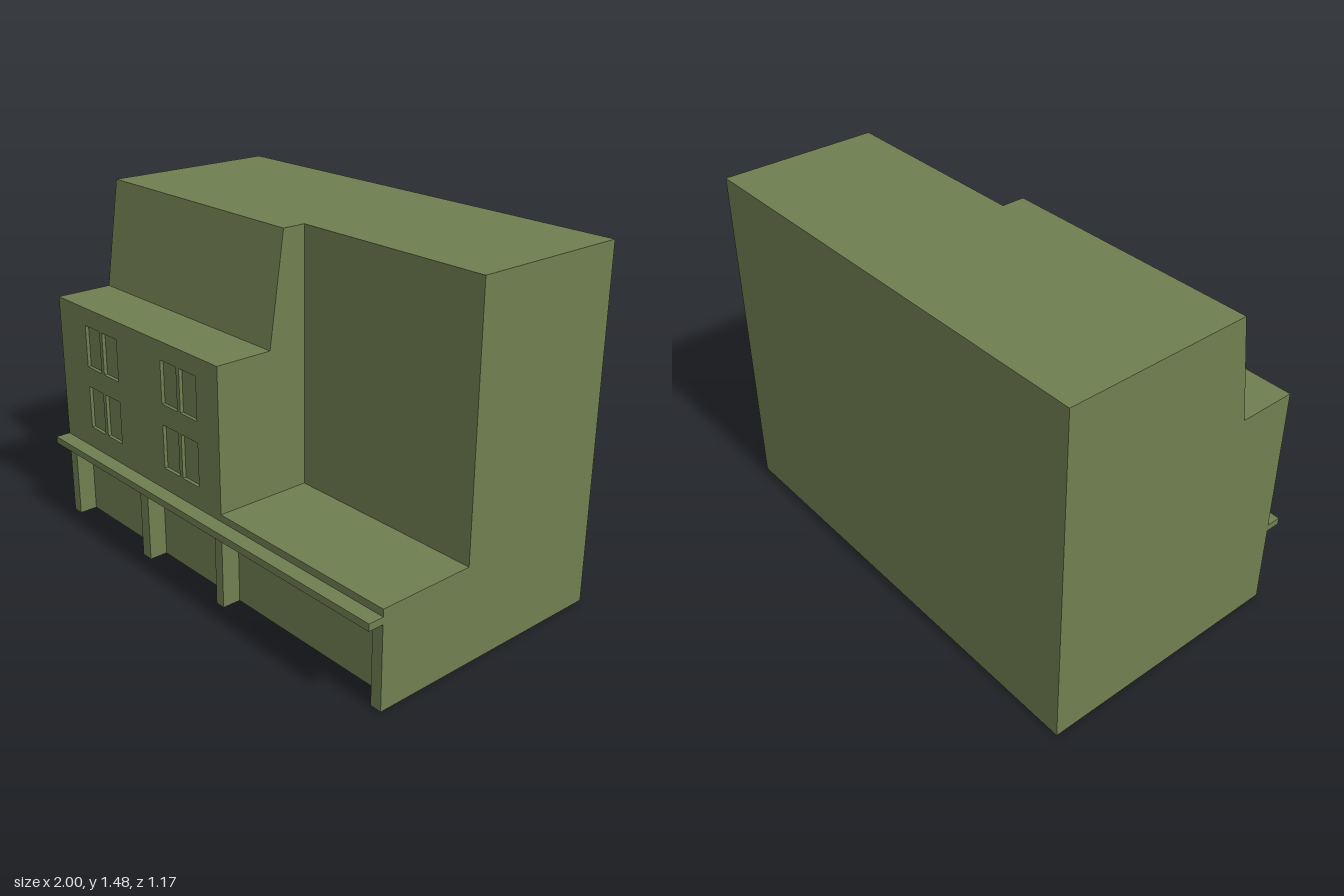
import * as THREE from 'three';

const BACK = -0.585, FRONT = 0.52, TOP = 1.475;   // main planes of the block
const STEP = 0.41, LEDGE = 1.015, SETBACK = 0.1;  // low terrace, upper ledge, set-back wall
const SPLIT = 0.115;                              // x where the tall bay ends
const SOFFIT = 0.35, CANOPY = 0.38, SHOP = 0.44;  // shop front heights and depth

const material = new THREE.MeshStandardMaterial({
  color: 0x6f7f50, side: THREE.DoubleSide, flatShading: true,
});

export function createModel() {
  const model = new THREE.Group();
  model.name = 'building';

  function add(name, geometry) {
    const mesh = new THREE.Mesh(geometry, material);
    mesh.name = name;
    model.add(mesh);
    return mesh;
  }

  // Open strip: a polyline of [x, y, z] points swept along a vector
  function sweep(name, points, [dx, dy, dz]) {
    const pos = [], index = [];
    for (let i = 0; i + 1 < points.length; i++) {
      const n = pos.length / 3;
      for (const [x, y, z] of [points[i], points[i + 1]]) {
        pos.push(x, y, z, x + dx, y + dy, z + dz);
      }
      index.push(n, n + 1, n + 3, n, n + 3, n + 2);
    }
    const g = new THREE.BufferGeometry();
    g.setAttribute('position', new THREE.Float32BufferAttribute(pos, 3));
    g.setIndex(index);
    g.computeVertexNormals();
    return add(name, g);
  }

  // Strip with a [z, y] profile running from x0 to x1
  const sweepX = (name, profile, x0, x1) =>
    sweep(name, profile.map(([z, y]) => [x0, y, z]), [x1 - x0, 0, 0]);

  // Flat panel with a [z, y] outline, facing +x (sign 1) or -x (sign -1)
  function sidePanel(name, outline, x, sign) {
    const shape = new THREE.Shape(outline.map(([z, y]) => new THREE.Vector2(-sign * z, y)));
    const g = new THREE.ShapeGeometry(shape).rotateY(sign * Math.PI / 2);
    return add(name, g.translate(x, 0, 0));
  }

  // Roofs, ledge, sloped upper front and terrace
  sweepX('tallBayRoof', [[FRONT, LEDGE], [0.27, LEDGE], [0.2, TOP], [BACK, TOP]], -1, SPLIT);
  sweepX('setbackAndTerrace',
    [[FRONT, STEP], [SETBACK, STEP], [SETBACK, TOP], [BACK, TOP]], SPLIT, 1);
  sweepX('backWall', [[BACK, TOP], [BACK, 0]], -1, 1);

  // Side walls and the flank of the tall bay
  sidePanel('rightWall',
    [[BACK, 0], [FRONT, 0], [FRONT, LEDGE], [0.27, LEDGE], [0.2, TOP], [BACK, TOP]], -1, -1);
  sidePanel('leftWall',
    [[BACK, 0], [FRONT, 0], [FRONT, STEP], [SETBACK, STEP], [SETBACK, TOP], [BACK, TOP]], 1, 1);
  sidePanel('bayFlank', [[SETBACK, STEP], [FRONT, STEP], [FRONT, LEDGE],
    [0.27, LEDGE], [0.2, TOP], [SETBACK, TOP]], SPLIT, 1);

  // Upper front wall with recessed windows
  const wall = new THREE.Shape([[-1, CANOPY], [1, CANOPY], [1, STEP], [SPLIT, STEP],
    [SPLIT, LEDGE], [-1, LEDGE]].map(p => new THREE.Vector2(...p)));
  const recess = 0.015;
  for (const [x0, x1] of [[-0.797, -0.69], [-0.67, -0.563], [-0.253, -0.149], [-0.129, -0.022]]) {
    for (const [y0, y1] of [[0.475, 0.663], [0.753, 0.937]]) {
      const corners = [[x0, y0], [x0, y1], [x1, y1], [x1, y0]];
      wall.holes.push(new THREE.Path(corners.map(p => new THREE.Vector2(...p))));
      sweep('windowReveal', [...corners, corners[0]].map(([x, y]) => [x, y, FRONT]),
        [0, 0, -recess]);
      sweep('windowPane', [[x0, y0, FRONT - recess], [x0, y1, FRONT - recess]], [x1 - x0, 0, 0]);
    }
  }
  add('upperFrontWall', new THREE.ShapeGeometry(wall).translate(0, 0, FRONT));

  // Canopy along the whole front
  const lip = [[FRONT, SOFFIT], [0.585, SOFFIT], [0.585, CANOPY], [FRONT, CANOPY]];
  sweepX('canopy', lip, -1, 1);
  sidePanel('canopyEnd', lip, -1, -1);
  sidePanel('canopyEnd', lip, 1, 1);

  // Shop front: posts with recessed bays between them, traced from +x to -x
  const bays = [[0.95, 0.115], [0.07, -0.39], [-0.445, -0.95]];
  const plan = [[1, FRONT]];
  for (const [a, b] of bays) {
    plan.push([a, FRONT], [a, SHOP], [b, SHOP], [b, FRONT]);
    sweepX('baySoffit', [[SHOP, SOFFIT], [FRONT, SOFFIT]], b, a);
  }
  plan.push([-1, FRONT]);
  sweep('shopFront', plan.map(([x, z]) => [x, 0, z]), [0, SOFFIT, 0]);

  return model;
}
